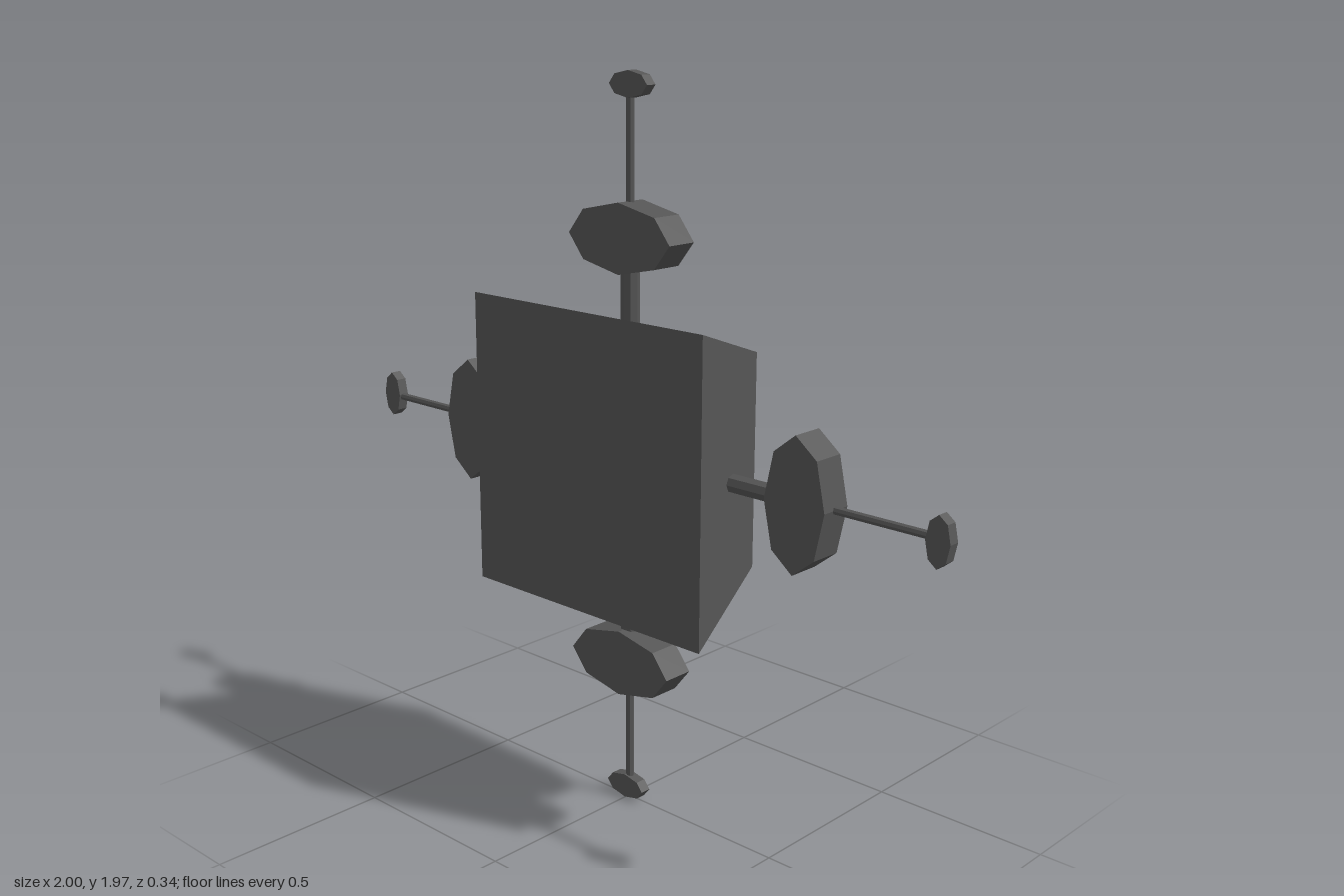
import * as THREE from 'three';

const paint = (color) => new THREE.MeshStandardMaterial({ color, flatShading: true, side: THREE.DoubleSide });
const darkGrey = paint(0x565656);

function add(parent, name, geometry, material = darkGrey) {
  const mesh = new THREE.Mesh(geometry, material);
  mesh.name = name;
  parent.add(mesh);
  return mesh;
}

// Stretched octagonal plate with two studs on its back
function makePlate(name) {
  const plate = new THREE.Group();
  plate.name = name;
  const disc = new THREE.CylinderGeometry(1, 1, 0.09, 8, 1, false, Math.PI / 2);
  disc.rotateX(Math.PI / 2).scale(0.175, 0.091, 1);
  add(plate, 'plateDisc', disc);
  for (const x of [0.08, -0.072]) {
    const stud = new THREE.CylinderGeometry(0.027, 0.027, 0.04, 8).rotateX(Math.PI / 2);
    add(plate, 'plateStud', stud).position.set(x, 0, -0.05);
  }
  return plate;
}

// Upright rod between two heights
function addRod(parent, name, radius, from, to) {
  const rod = new THREE.CylinderGeometry(radius, radius, to - from, 8);
  add(parent, name, rod).position.y = (from + to) / 2;
}

// Arm pointing up: thick rod, large plate, thin rod, small plate
function makeArm(middle, tip) {
  const arm = new THREE.Group();
  addRod(arm, 'innerRod', 0.025, 0.352, 0.52);
  addRod(arm, 'outerRod', 0.011, 0.64, tip);
  const plate = makePlate('largePlate');
  plate.position.y = middle;
  const endPlate = makePlate('endPlate');
  endPlate.scale.set(0.37, 0.37, 0.34);
  endPlate.position.set(0.006, tip, 0);
  arm.add(plate, endPlate);
  return arm;
}

export function createModel() {
  const model = new THREE.Group();
  model.name = 'model';
  const body = new THREE.Group();
  body.name = 'body';
  body.position.set(-0.002, 0.994, 0);
  model.add(body);

  // Tapered shell, closed at the front and open at the back
  const d = Math.SQRT2;
  const walls = new THREE.CylinderGeometry(0.4 * d, 0.288 * d, 0.338, 4, 1, true, Math.PI / 4);
  add(body, 'shellWalls', walls.rotateX(Math.PI / 2));
  add(body, 'frontPanel', new THREE.PlaneGeometry(0.8, 0.8)).position.z = 0.169;

  // Arms and pegs share a centre slightly off the shell's
  const fittings = new THREE.Group();
  fittings.name = 'fittings';
  fittings.position.set(0.006, -0.007, 0);
  body.add(fittings);

  // Four arms, clockwise from the top: plate and tip distances
  const arms = [
    ['topArm', 0.576, 0.955],
    ['leftArm', 0.578, 0.962],
    ['bottomArm', 0.572, 0.95],
    ['rightArm', 0.588, 0.97],
  ];
  arms.forEach(([name, middle, tip], i) => {
    const arm = makeArm(middle, tip);
    arm.name = name;
    arm.rotation.z = -i * Math.PI / 2;
    fittings.add(arm);
  });

  // Two pegs inside each wall, one coloured and one grey
  const pegs = [
    ['topPegs', 0.1, -0.115, 0xe8e81a],
    ['leftPegs', 0.152, -0.122, 0xba2ae0],
    ['bottomPegs', 0.106, -0.106, 0x48dc1c],
    ['rightPegs', 0.137, -0.135, 0xc86428],
  ];
  pegs.forEach(([name, coloured, plain, color], i) => {
    const wall = new THREE.Group();
    wall.name = name;
    wall.rotation.z = -i * Math.PI / 2;
    fittings.add(wall);
    for (const [pegName, x, material] of [['colouredPeg', coloured, paint(color)], ['greyPeg', plain, darkGrey]]) {
      const peg = new THREE.CylinderGeometry(0.053, 0.053, 0.095, 8, 1, false, Math.PI / 8);
      add(wall, pegName, peg, material).position.set(x, 0.256, -0.05);
    }
  });
  return model;
}
